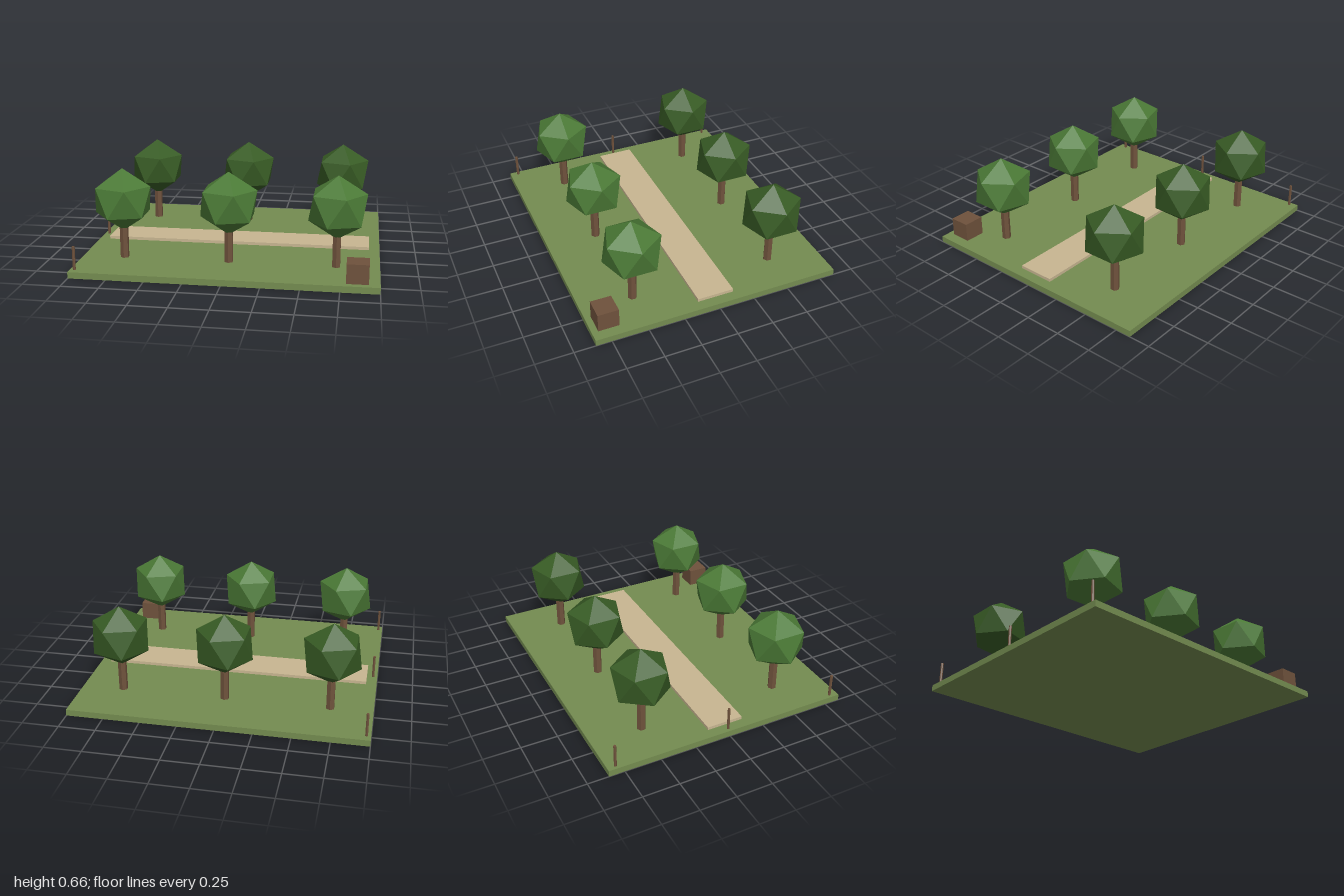
import * as THREE from 'three';

const material = (name, color) => {
  const m = new THREE.MeshStandardMaterial({ color, flatShading: true });
  m.name = name;
  return m;
};

export function createModel() {
  const grass = material('grass green', 0x748c50);
  const sand = material('path sand', 0xc8b691);
  const wood = material('wood brown', 0x6f523c);
  const lightLeaf = material('light leaf green', 0x4b7a36);
  const darkLeaf = material('dark leaf green', 0x385c25);

  const model = new THREE.Group();
  model.name = 'orchard';
  const GROUND = 0.043;

  const add = (parent, name, geometry, mat, x, y, z) => {
    const mesh = new THREE.Mesh(geometry, mat);
    mesh.name = name;
    mesh.position.set(x, y, z);
    parent.add(mesh);
    return mesh;
  };

  // Ground slab and raised path
  add(model, 'ground', new THREE.BoxGeometry(2, GROUND, 1.714), grass, 0, GROUND / 2, 0);
  add(model, 'path', new THREE.BoxGeometry(1.857, 0.021, 0.254), sand, 0, GROUND + 0.0105, 0);

  // Trees: hexagonal trunk and an icosahedral crown standing on one corner
  const trunk = new THREE.CylinderGeometry(0.03, 0.03, 0.23, 6);
  const crown = new THREE.IcosahedronGeometry(0.213, 0);
  crown.rotateZ(-Math.atan(2 / (1 + Math.sqrt(5))));
  for (const z of [-0.5, 0.5]) {
    for (const x of [-0.714, 0, 0.714]) {
      const tree = new THREE.Group();
      tree.name = 'tree';
      tree.position.set(x, GROUND, z);
      add(tree, 'trunk', trunk, wood, 0, 0.115, 0);
      add(tree, 'crown', crown, z > 0 ? lightLeaf : darkLeaf, 0, 0.403, 0);
      model.add(tree);
    }
  }

  // Fence posts along one edge
  const post = new THREE.CylinderGeometry(0.01, 0.01, 0.158, 6);
  for (const z of [-0.8, 0, 0.8]) add(model, 'fencePost', post, wood, -0.971, GROUND + 0.079, z);

  // Crate in the corner
  add(model, 'crate', new THREE.BoxGeometry(0.142, 0.129, 0.142), wood, 0.857, GROUND + 0.0645, 0.743);

  return model;
}
